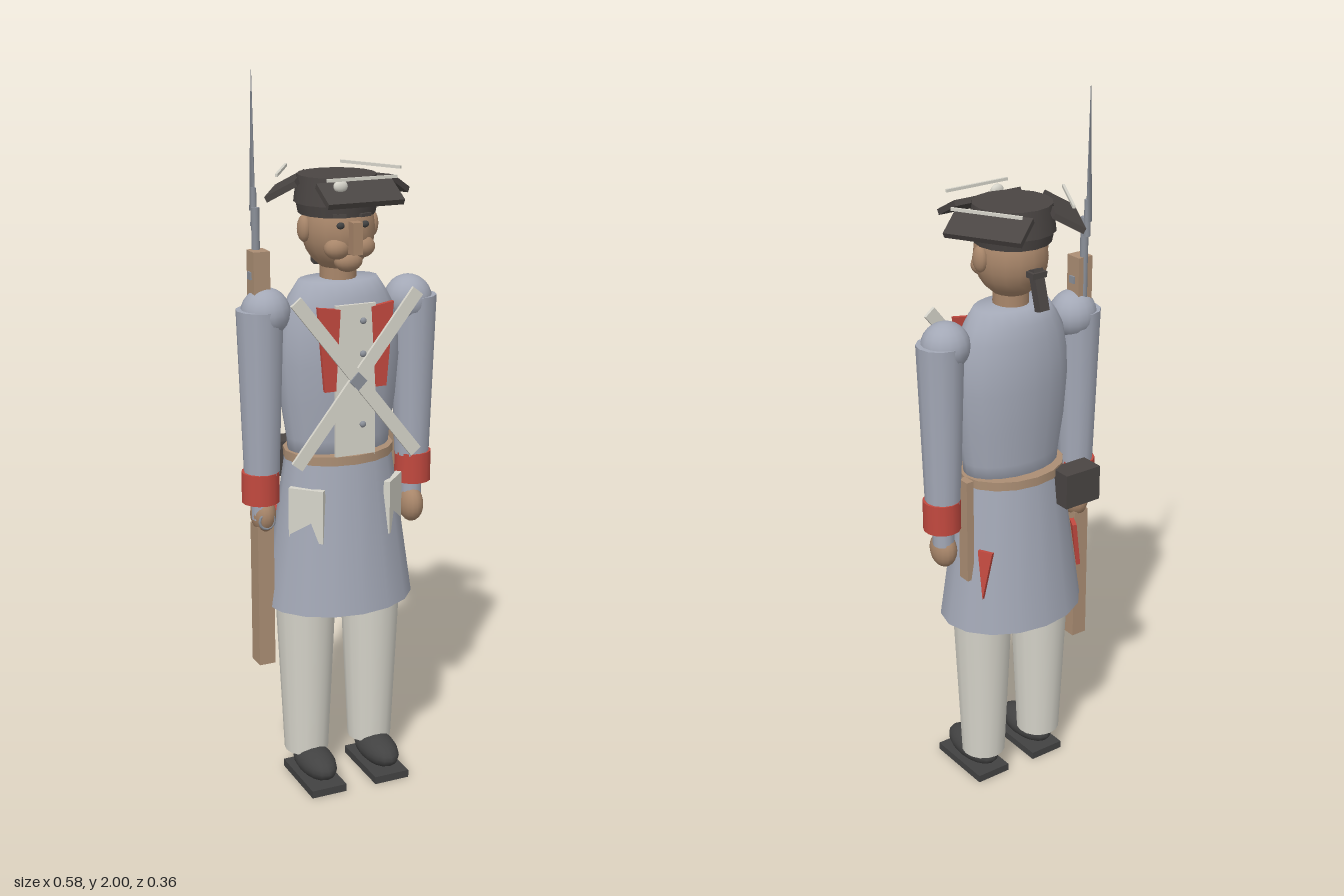
import * as THREE from 'three';

const mat = (name, color, side = THREE.FrontSide) => {
  const m = new THREE.MeshStandardMaterial({ color, side });
  m.name = name;
  return m;
};

export function createModel() {
  const coat = mat('coat grey', 0xa3a8b6, THREE.DoubleSide);
  const white = mat('off white', 0xd6d4ca);
  const red = mat('facing red', 0xc2493f);
  const black = mat('hat black', 0x4a4543);
  const shoeBlack = mat('shoe black', 0x424242);
  const skin = mat('skin', 0xa8866a);
  const wood = mat('wood and leather', 0xab8e74);
  const metal = mat('steel', 0x8b9099);

  const model = new THREE.Group();
  model.name = 'toySoldier';

  const add = (name, geo, material, x, y, z, parent = model) => {
    const m = new THREE.Mesh(geo, material);
    m.name = name;
    m.position.set(x, y, z);
    parent.add(m);
    return m;
  };
  const box = (w, h, d) => new THREE.BoxGeometry(w, h, d);
  const cyl = (rt, rb, y0, y1, n = 16, open = false) =>
    new THREE.CylinderGeometry(rt, rb, y1 - y0, n, 1, open).translate(0, (y0 + y1) / 2, 0);
  const ball = (rx, ry, rz) => new THREE.SphereGeometry(1, 16, 12).scale(rx, ry, rz);
  // thin plate with a polygon outline
  const plate = (pts, depth) => new THREE.ExtrudeGeometry(
    new THREE.Shape(pts.map(p => new THREE.Vector2(...p))), { depth, bevelEnabled: false });

  // Coat: skirt, waist belt and torso, all oval in plan
  add('coatSkirt', cyl(0.152, 0.215, 0.54, 0.97, 16, true).scale(1, 1, 0.79), coat, 0, 0, 0);
  add('waistBelt', cyl(0.157, 0.157, 0.96, 0.985).scale(1, 1, 0.79), wood, 0, 0, 0);
  const profile = [[0, 0.95], [0.143, 0.95], [0.15, 1.02], [0.166, 1.12], [0.175, 1.23], [0.172, 1.3],
    [0.16, 1.37], [0.14, 1.41], [0.112, 1.452], [0, 1.456]].map(p => new THREE.Vector2(...p));
  add('torso', new THREE.LatheGeometry(profile, 20).scale(1, 1, 0.62), coat, 0, 0, 0);

  // Chest details
  add('chestPanel', box(0.116, 0.42, 0.01), white, 0, 1.19, 0.11);
  for (const y of [1.355, 1.265, 1.16, 1.07])
    add('button', ball(0.009, 0.009, 0.007), metal, 0.02, y, 0.118);
  for (const s of [-1, 1]) {
    const strap = add('crossStrap', box(0.57, 0.036, 0.009), white, 0, 1.2, 0.125);
    strap.rotation.z = s * 0.905;
    const pts = [[0.045, 1.39], [0.11, 1.4], [0.09, 1.17], [0.058, 1.17]].map(([x, y]) => [s * x, y]);
    add('lapel', plate(pts, 0.012), red, 0, 0, 0.105);
  }
  const buckle = add('strapPlate', box(0.036, 0.036, 0.008), metal, 0, 1.195, 0.13);
  buckle.rotation.z = Math.PI / 4;

  for (const s of [-1, 1]) {
    // Legs and shoes
    add('leg', cyl(0.09, 0.063, 0.08, 0.66), white, s * 0.1, 0, 0);
    add('shoe', ball(0.052, 0.042, 0.105), shoeBlack, s * 0.098, 0.06, 0.055);
    add('sole', box(0.105, 0.022, 0.21), shoeBlack, s * 0.098, 0.011, 0.055);

    // Arms
    const arm = new THREE.Group();
    arm.name = s > 0 ? 'leftArm' : 'rightArm';
    arm.position.x = s * 0.227;
    model.add(arm);
    add('shoulder', ball(0.067, 0.067, 0.065), coat, -s * 0.017, 1.375, 0, arm);
    add('sleeve', cyl(0.064, 0.049, 0.93, 1.385, 12), coat, 0, 0, 0, arm);
    add('cuff', cyl(0.052, 0.052, 0.85, 0.937, 14), red, s * 0.004, 0, 0, arm);
    add('wrist', cyl(0.03, 0.03, 0.8, 0.86, 12), coat, 0, 0, 0, arm);
    add('hand', ball(0.034, 0.052, 0.046), skin, -s * 0.004, s > 0 ? 0.78 : 0.81, s > 0 ? 0.008 : -0.005, arm);

    // Skirt flaps and rear turnbacks
    const flap = add('pocketFlap', box(0.1, 0.15, 0.018), white, s * 0.1085, 0.82, 0.1085);
    flap.position.set(s * 0.121, 0.82, 0.09);
    flap.rotation.y = s * Math.PI / 4;
    flap.translateX(s * 0.012);
    const tail = add('turnback', plate([[-0.022, 0.07], [0, -0.07], [0.022, 0.07]], 0.012), red,
      s * 0.153, 0.72, -0.093);
    tail.rotation.set(-0.12, s * 2.05, 0, 'YXZ');
  }

  // Equipment on the belt
  add('scabbard', box(0.022, 0.3, 0.038), wood, 0.178, 0.845, -0.04);
  add('cartridgeBox', box(0.115, 0.1, 0.07), black, -0.13, 0.93, -0.125);

  // Head
  add('neck', cyl(0.048, 0.05, 1.42, 1.53), skin, 0, 0, 0);
  add('head', ball(0.098, 0.115, 0.103), skin, 0, 1.585, 0);
  add('nose', box(0.028, 0.085, 0.05), skin, 0, 1.575, 0.102);
  add('chin', ball(0.04, 0.03, 0.03), skin, 0, 1.508, 0.065);
  for (const s of [-1, 1]) {
    add('ear', ball(0.018, 0.036, 0.024), skin, s * 0.098, 1.59, 0);
    add('cheek', ball(0.036, 0.03, 0.03), skin, s * 0.036, 1.545, 0.073);
    add('eye', ball(0.011, 0.009, 0.008), shoeBlack, s * 0.035, 1.607, 0.094);
    const brow = add('eyebrow', box(0.036, 0.009, 0.012), black, s * 0.037, 1.631, 0.09);
    brow.rotation.y = s * 0.35;
  }
  const queue = add('queue', box(0.03, 0.11, 0.025), black, 0, 1.52, -0.123);
  queue.rotation.x = 0.28;
  add('queueRibbon', box(0.045, 0.016, 0.03), black, 0, 1.56, -0.113);

  // Hat: crown, three tilted brim panels and their floating trims
  const hat = new THREE.Group();
  hat.name = 'hat';
  model.add(hat);
  add('hatBand', cyl(0.112, 0.103, 1.625, 1.67), black, 0, 0, -0.008, hat);
  add('crown', cyl(0.106, 0.115, 1.655, 1.728), black, 0, 0, -0.008, hat);
  for (const k of [-1, 0, 1]) {
    const side = new THREE.Group();
    side.name = 'brimSide';
    side.rotation.y = k * 2 * Math.PI / 3;
    hat.add(side);
    const brim = add('brimPanel', box(0.214, 0.016, 0.09), black, 0, 1.694, 0.138, side);
    brim.rotation.x = 0.5;
    add('brimTrim', box(0.196, 0.008, 0.007), white, 0, 1.735, 0.15, side);
  }
  add('cockade', ball(0.02, 0.016, 0.011), white, -0.053, 1.716, 0.133, hat);

  // Musket held upright against the right shoulder
  const musket = new THREE.Group();
  musket.name = 'musket';
  musket.position.set(-0.225, 0, 0);
  model.add(musket);
  add('stock', box(0.047, 0.41, 0.055), wood, 0, 0.575, -0.008, musket);
  add('foreStock', box(0.046, 0.7, 0.05), wood, 0, 1.19, -0.008, musket);
  add('lock', box(0.056, 0.02, 0.02), metal, 0, 1.475, -0.008, musket);
  add('triggerGuard', new THREE.TorusGeometry(0.022, 0.004, 6, 12), metal, 0, 0.8, 0.03, musket);
  add('barrel', cyl(0.011, 0.011, 0.78, 1.65, 12), metal, 0, 0, -0.025, musket);
  add('bayonetSocket', cyl(0.008, 0.01, 1.6, 1.7, 8), metal, 0, 0, -0.036, musket);
  add('bayonet', cyl(0.001, 0.01, 1.64, 2, 3), metal, 0, 0, -0.04, musket);

  return model;
}
